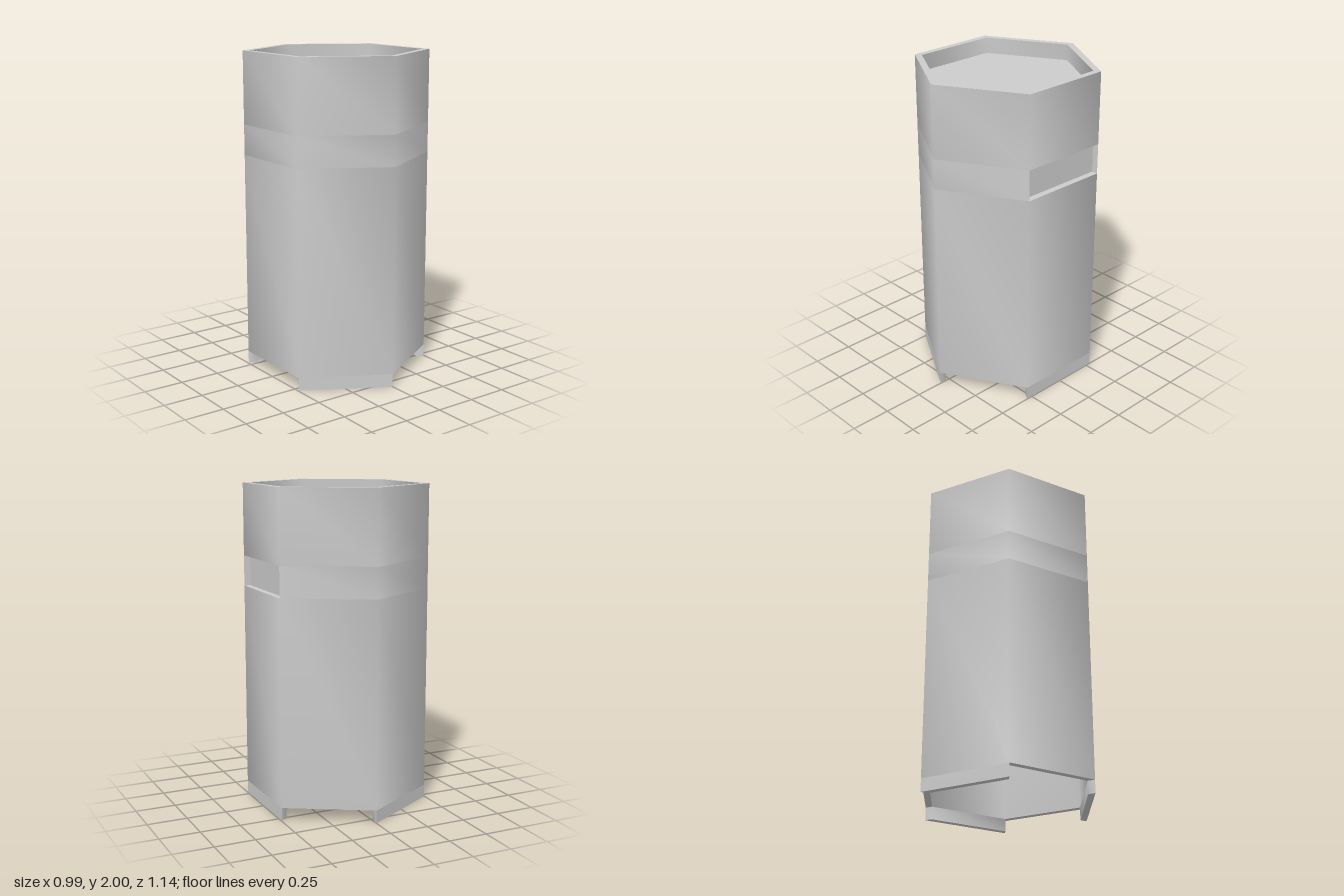
import * as THREE from 'three';
import { toCreasedNormals } from 'three/addons/utils/BufferGeometryUtils.js';

const R = 0.572, WALL_R = 0.526, APOTHEM_IN = 0.455;

// Hexagon corner i, at angle i * 60 degrees from +z towards +x, as [x, z]
const corner = (r, i) => [r * Math.sin(i * Math.PI / 3), r * Math.cos(i * Math.PI / 3)];
const hexagon = (r) => [0, 1, 2, 3, 4, 5].map((i) => corner(r, i));
const toVectors = (pts) => pts.map(([x, z]) => new THREE.Vector2(x, -z));

export function createModel() {
  const model = new THREE.Group();
  const material = new THREE.MeshStandardMaterial({ color: 0xcccccc });

  // Upright prism between two heights, with an optional hole
  function prism(name, outline, y0, y1, hole) {
    const shape = new THREE.Shape(toVectors(outline));
    if (hole) shape.holes.push(new THREE.Path(toVectors(hole)));
    const geometry = new THREE.ExtrudeGeometry(shape, { depth: y1 - y0, bevelEnabled: false });
    geometry.rotateX(-Math.PI / 2).translate(0, y0, 0);
    const mesh = new THREE.Mesh(toCreasedNormals(geometry, 1.2), material);
    mesh.name = name;
    model.add(mesh);
  }

  // Hollow hexagonal wall below and above the recessed band
  const inner = hexagon(WALL_R);
  prism('lowerWall', hexagon(R), 0.08, 1.36, inner);
  prism('upperWall', hexagon(R), 1.55, 2, inner);

  // Band with a shallow rectangular recess across its +x side
  const band = hexagon(R);
  const half = band[1][1];
  band.splice(2, 0, [APOTHEM_IN, half], [APOTHEM_IN, -half]);
  prism('recessedBand', band, 1.36, 1.55, hexagon(WALL_R - 0.01));

  // Three feet on alternate sides, mitred at the corners
  for (const i of [1, 3, 5]) {
    prism('foot', [corner(R, i), corner(R, i + 1), corner(WALL_R, i + 1), corner(WALL_R, i)], 0, 0.08);
  }

  // Closed top, set down inside the rim
  prism('topPlate', inner, 1.86, 1.9);

  return model;
}
